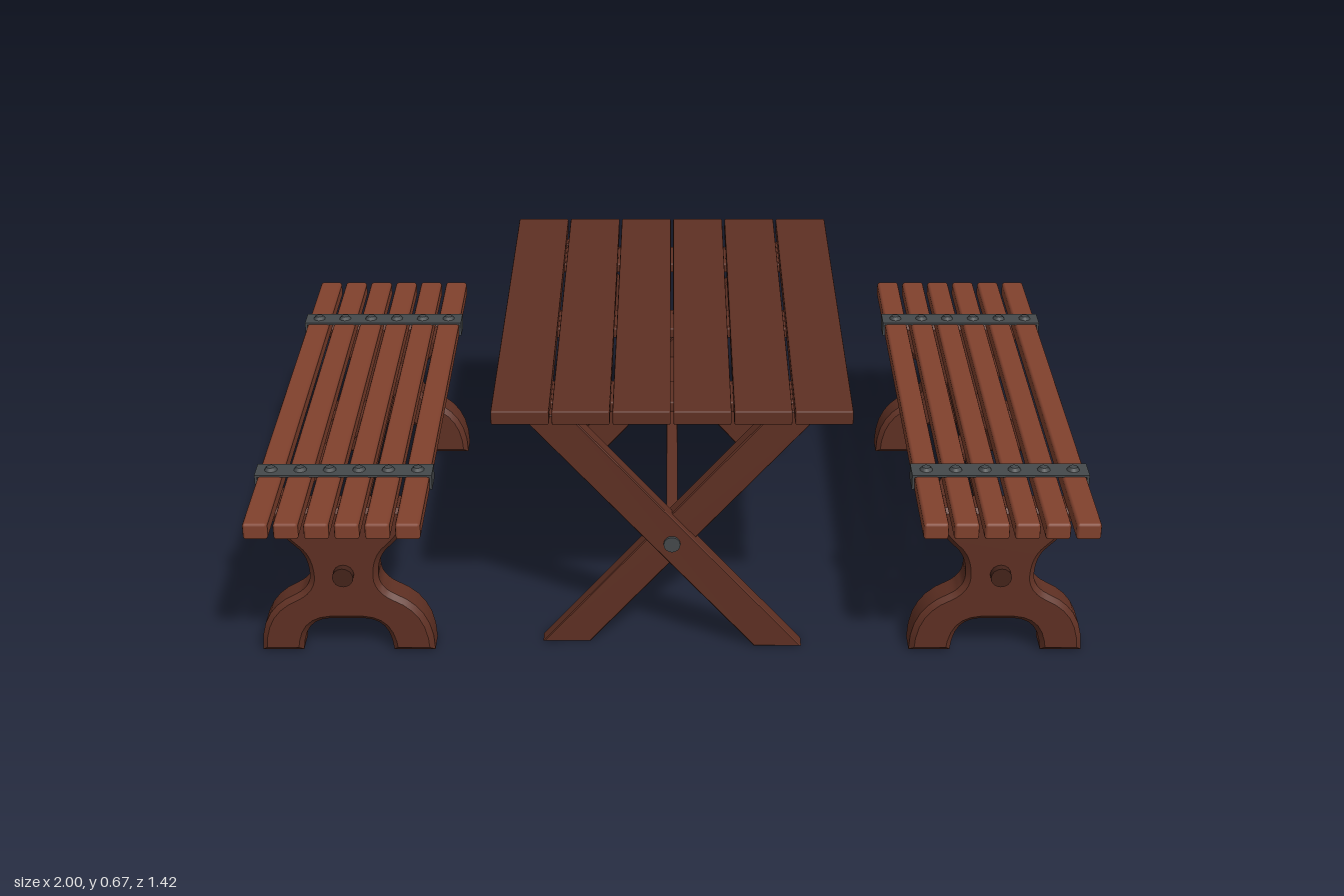
import * as THREE from 'three';
import { RoundedBoxGeometry } from 'three/addons/geometries/RoundedBoxGeometry.js';
import { toCreasedNormals } from 'three/addons/utils/BufferGeometryUtils.js';

const material = (color) => new THREE.MeshStandardMaterial({ color });
const darkWood = material(0x5f3023);
const slatWood = material(0x81412d);
const pegWood = material(0x44231a);
const iron = material(0x45494b);

function add(parent, name, geometry, mat, x = 0, y = 0, z = 0) {
  const mesh = new THREE.Mesh(geometry, mat);
  mesh.name = name;
  mesh.position.set(x, y, z);
  parent.add(mesh);
  return mesh;
}

const board = (w, h, d, r = 0.004) => new RoundedBoxGeometry(w, h, d, 1, r);

// Round bar lying along z
function rod(radius, length, sides = 16) {
  return new THREE.CylinderGeometry(radius, radius, length, sides).rotateX(Math.PI / 2);
}

// Outline in x and y, extruded and centred on z = 0
function slab(shape, depth, bevel) {
  const geometry = new THREE.ExtrudeGeometry(shape, {
    depth: depth - 2 * bevel, bevelEnabled: true, bevelThickness: bevel,
    bevelSize: bevel, bevelOffset: -bevel, bevelSegments: 1, curveSegments: 6,
  });
  geometry.translate(0, 0, bevel - depth / 2);
  return toCreasedNormals(geometry, 0.5);
}

function createTable() {
  const table = new THREE.Group();
  table.name = 'table';

  // Top planks and the cleats below them
  for (let i = 0; i < 6; i++) {
    add(table, 'tablePlank', board(0.134, 0.035, 1.2), darkWood, (i - 2.5) * 0.1404, 0.6475);
  }
  for (const z of [-0.42, 0, 0.42]) {
    add(table, 'tableCleat', board(0.8, 0.026, 0.12), darkWood, 0, 0.618, z);
  }

  // Crossed legs, cut level at floor and top
  const legShape = (s) => {
    const points = [[-0.315, 0], [-0.2, 0], [0.355, 0.628], [0.24, 0.628]];
    if (s < 0) points.reverse();
    return new THREE.Shape(points.map(([x, y]) => new THREE.Vector2(s * x, y)));
  };
  for (const end of [1, -1]) {
    add(table, 'crossLeg', slab(legShape(1), 0.043, 0.003), darkWood, 0, 0, end * 0.502);
    add(table, 'crossLeg', slab(legShape(-1), 0.043, 0.003), darkWood, 0, 0, end * 0.524);
    add(table, 'legBolt', rod(0.02, 0.014), iron, 0, 0.287, end * 0.546);
  }

  // Stretchers between the leg pairs
  add(table, 'centreStretcher', board(0.028, 0.028, 1.0), darkWood, 0, 0.287);
  for (const s of [1, -1]) {
    add(table, 'upperStretcher', board(0.03, 0.03, 1.0), darkWood, s * 0.23, 0.545);
  }
  return table;
}

// Trestle end: wide head, narrow waist, two splayed feet and an arch
function trestleShape() {
  const shape = new THREE.Shape();
  shape.moveTo(-0.21, 0);
  shape.lineTo(-0.11, 0);
  shape.bezierCurveTo(-0.105, 0.06, -0.085, 0.085, -0.04, 0.088);
  shape.lineTo(0.04, 0.088);
  shape.bezierCurveTo(0.085, 0.085, 0.105, 0.06, 0.11, 0);
  shape.lineTo(0.21, 0);
  shape.bezierCurveTo(0.21, 0.085, 0.175, 0.13, 0.12, 0.155);
  shape.quadraticCurveTo(0.082, 0.175, 0.082, 0.21);
  shape.quadraticCurveTo(0.082, 0.26, 0.11, 0.285);
  shape.quadraticCurveTo(0.16, 0.33, 0.17, 0.392);
  shape.lineTo(-0.17, 0.392);
  shape.quadraticCurveTo(-0.16, 0.33, -0.11, 0.285);
  shape.quadraticCurveTo(-0.082, 0.26, -0.082, 0.21);
  shape.quadraticCurveTo(-0.082, 0.175, -0.12, 0.155);
  shape.bezierCurveTo(-0.175, 0.13, -0.21, 0.085, -0.21, 0);
  return shape;
}

function createBench(name, x) {
  const bench = new THREE.Group();
  bench.name = name;
  bench.position.x = x;
  const slatX = [0, 1, 2, 3, 4, 5].map((i) => (i - 2.5) * 0.0705);

  // Seat slats
  for (const sx of slatX) {
    add(bench, 'seatSlat', board(0.058, 0.042, 1.42, 0.007), slatWood, sx, 0.409);
  }

  const trestle = slab(trestleShape(), 0.085, 0.012);
  for (const end of [1, -1]) {
    add(bench, 'trestleEnd', trestle, darkWood, 0, 0, end * 0.528);
    add(bench, 'stretcherPeg', rod(0.025, 0.025), pegWood, 0, 0.217, end * 0.577);

    // Iron strap with folded ends and a bolt on every slat
    const z = end * 0.445;
    add(bench, 'seatStrap', new THREE.BoxGeometry(0.424, 0.006, 0.06), iron, 0, 0.431, z);
    for (const s of [1, -1]) {
      add(bench, 'strapEnd', new THREE.BoxGeometry(0.006, 0.038, 0.06), iron, s * 0.209, 0.415, z);
    }
    for (const sx of slatX) {
      add(bench, 'strapBolt', new THREE.CylinderGeometry(0.01, 0.016, 0.008, 10), iron, sx, 0.438, z);
    }
  }

  // Long stretcher and the diagonal brace under the seat
  add(bench, 'stretcher', rod(0.02, 1.1), darkWood, 0, 0.217);
  const brace = add(bench, 'diagonalBrace', board(0.03, 0.04, 1.05), darkWood, 0, 0.368);
  brace.rotation.y = -Math.atan2(0.3, 1);
  return bench;
}

export function createModel() {
  const model = new THREE.Group();
  model.name = 'picnicSet';
  model.add(createTable(), createBench('leftBench', 0.786), createBench('rightBench', -0.786));
  return model;
}
